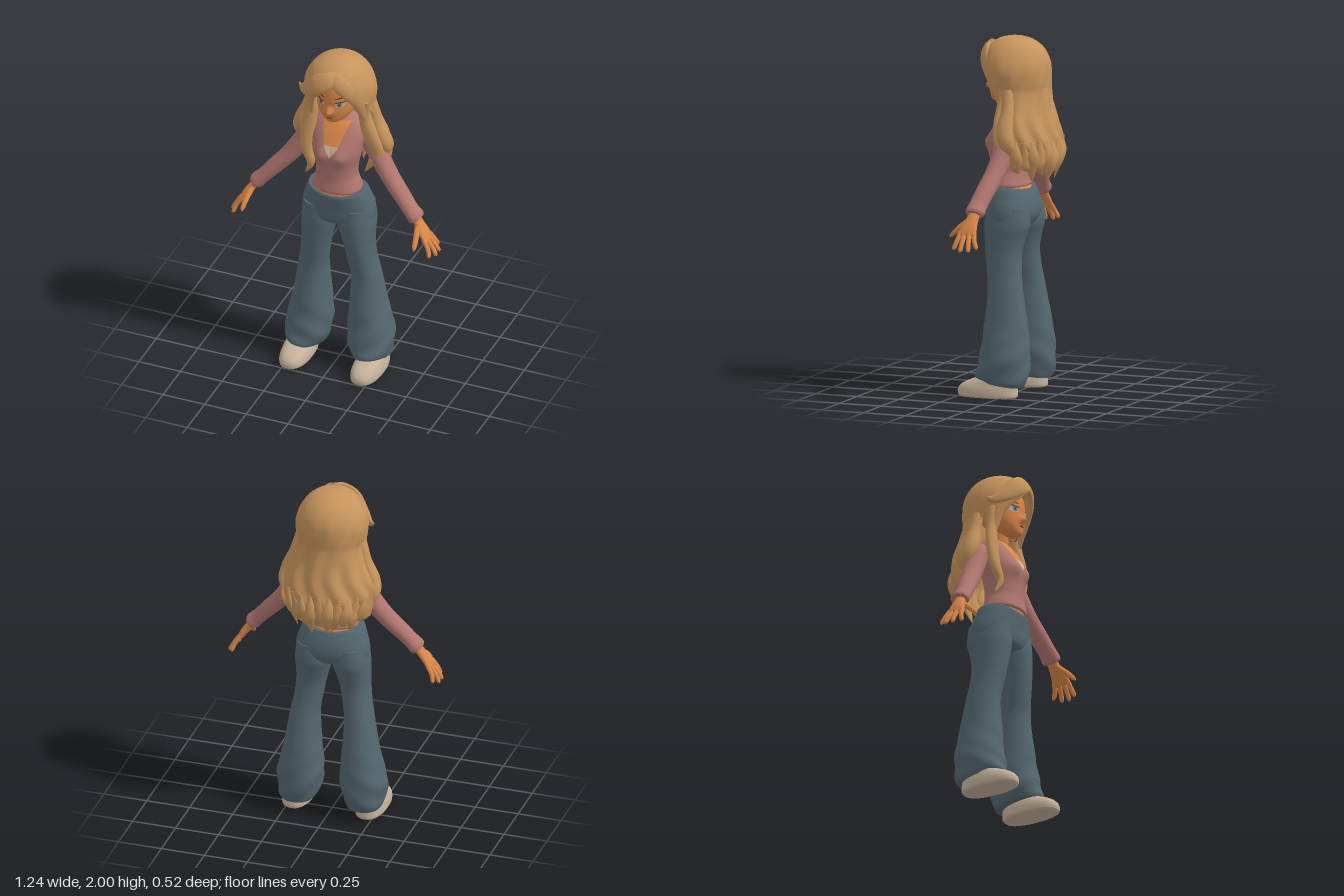
import * as THREE from 'three';

const mat = (name, color, side = THREE.FrontSide) => {
  const m = new THREE.MeshStandardMaterial({ color, side });
  m.name = name;
  return m;
};

// Smooth interpolation of table rows; the first column is the key, ascending
function sample(rows, t) {
  const last = rows.length - 1;
  t = Math.min(Math.max(t, rows[0][0]), rows[last][0]);
  let i = 0;
  while (i < last - 1 && t > rows[i + 1][0]) i++;
  const a = rows[i], b = rows[i + 1], h = b[0] - a[0], s = (t - a[0]) / h;
  const slope = (k, c) => {
    const p = rows[Math.max(k - 1, 0)], q = rows[Math.min(k + 1, last)];
    return (q[c] - p[c]) / (q[0] - p[0]);
  };
  return a.map((_, c) => c === 0 ? t :
    (1 + 2 * s) * (1 - s) ** 2 * a[c] + s * (1 - s) ** 2 * h * slope(i, c) +
    s * s * (3 - 2 * s) * b[c] + s * s * (s - 1) * h * slope(i + 1, c));
}

function keys(rows, sub) {
  const out = [];
  for (let i = 0; i < rows.length - 1; i++)
    for (let k = 0; k < sub; k++) out.push(rows[i][0] + (rows[i + 1][0] - rows[i][0]) * k / sub);
  return [...out, rows[rows.length - 1][0]];
}

// Skin a list of rings; closed rings also get end caps
function skin(rings, closed = true) {
  const n = rings[0].length, pos = [], idx = [];
  rings.forEach(r => r.forEach(p => pos.push(p.x, p.y, p.z)));
  for (let i = 0; i < rings.length - 1; i++)
    for (let j = 0; j < (closed ? n : n - 1); j++) {
      const a = i * n + j, b = i * n + (j + 1) % n;
      idx.push(a, a + n, b, b, a + n, b + n);
    }
  if (closed) [rings[0], rings[rings.length - 1]].forEach((r, top) => {
    const base = pos.length / 3;
    const c = r.reduce((s, p) => s.add(p), new THREE.Vector3()).divideScalar(n);
    [...r, c].forEach(p => pos.push(p.x, p.y, p.z));
    for (let j = 0; j < n; j++) {
      const a = base + j, b = base + (j + 1) % n;
      if (top) idx.push(base + n, b, a); else idx.push(base + n, a, b);
    }
  });
  const g = new THREE.BufferGeometry();
  g.setAttribute('position', new THREE.Float32BufferAttribute(pos, 3));
  g.setIndex(idx);
  g.computeVertexNormals();
  return g;
}

// Upright body part from horizontal sections: [y, xMin, xMax, zBack, zFront]
function stack({ rows, p = 2, bump = () => 0, warp }, n = 56, sub = 5) {
  return skin(keys(rows, sub).map(y => {
    const [, x0, x1, zb, zf] = sample(rows, y);
    return Array.from({ length: n }, (_, j) => {
      const a = j / n * Math.PI * 2, c = Math.cos(a), s = Math.sin(a);
      const x = (x0 + x1) / 2 + (x1 - x0) / 2 * Math.sign(c) * Math.abs(c) ** (2 / p);
      const z = (zb + zf) / 2 + (zf - zb) / 2 * Math.sign(s) * Math.abs(s) ** (2 / p);
      const v = new THREE.Vector3(x, y, z + bump(x, y) * Math.max(s, 0));
      if (warp) warp(v, a);
      return v;
    });
  }));
}

// Front surface depth of a stacked part
function frontZ({ rows, p = 2, bump = () => 0 }, x, y) {
  const [, x0, x1, zb, zf] = sample(rows, y);
  const nx = Math.min(Math.abs((x - (x0 + x1) / 2) / ((x1 - x0) / 2)), 1);
  const s = Math.sqrt(1 - nx ** p);
  return (zb + zf) / 2 + (zf - zb) / 2 * s ** (2 / p) + bump(x, y) * s;
}

// Limb or lock along a path: [x, y, z, side radius, depth radius]
function limb(path, n = 14, sub = 5, ref = () => new THREE.Vector3(0, 0, 1)) {
  const rows = path.map((r, i) => [i, ...r]);
  const at = t => new THREE.Vector3(...sample(rows, t).slice(1, 4));
  return skin(keys(rows, sub).map(t => {
    const p = at(t), d = at(t + 0.05).sub(at(t - 0.05)).normalize();
    const v = ref(p);
    v.addScaledVector(d, -v.dot(d)).normalize();
    const u = new THREE.Vector3().crossVectors(d, v), [, , , , ru, rv] = sample(rows, t);
    return Array.from({ length: n }, (_, j) => {
      const a = j / n * Math.PI * 2;
      return p.clone().addScaledVector(u, ru * Math.cos(a)).addScaledVector(v, rv * Math.sin(a));
    });
  }));
}

function mirror(geometry) {
  const g = geometry.clone().scale(-1, 1, 1), ix = g.index.array;
  for (let i = 0; i < ix.length; i += 3) [ix[i], ix[i + 1]] = [ix[i + 1], ix[i]];
  return g;
}

// Thin painted patch laid on the front of a part
function drape(geometry, part, lift, place) {
  const q = geometry.attributes.position;
  for (let i = 0; i < q.count; i++) {
    const [x, y] = place(q.getX(i), q.getY(i));
    q.setXYZ(i, x, y, frontZ(part, x, y) + lift);
  }
  geometry.computeVertexNormals();
  return geometry;
}
const oval = (part, cx, cy, rx, ry, lift, tilt = 0) =>
  drape(new THREE.CircleGeometry(1, 20), part, lift, (x, y) => [cx + x * rx, cy + y * ry + x * tilt]);

export function createModel() {
  const model = new THREE.Group();
  const skinTone = mat('skin', 0xd98648), hair = mat('hair', 0xc6935c, THREE.DoubleSide);
  const knit = mat('rose knit', 0xb1766f), denim = mat('denim', 0x54676f), shoe = mat('shoe', 0xc6b29d);
  const top = mat('undershirt', 0xcdb096), iris = mat('iris', 0x6f8c9c), white = mat('eye white', 0xb8b5b0);
  const dark = mat('dark brown', 0x5c3823), metal = mat('earring', 0x8c6a40);
  const add = (name, g, m) => {
    const mesh = new THREE.Mesh(g, m);
    mesh.name = name;
    model.add(mesh);
  };
  const pair = (name, g, m) => { add(name + 'Left', g, m); add(name + 'Right', mirror(g), m); };
  const sym = rows => rows.map(([y, w, zb, zf]) => [y, -w, w, zb, zf]);

  // Head and face
  const head = { rows: sym([[1.625, .012, .09, .125], [1.637, .045, .05, .142], [1.66, .076, 0, .15],
    [1.7, .106, -.06, .155], [1.75, .12, -.1, .155], [1.8, .122, -.12, .157], [1.86, .114, -.12, .147],
    [1.92, .08, -.09, .1], [1.95, .02, -.02, .03]]),
    bump: (x, y) => .033 * Math.exp(-((x / .018) ** 2) - ((y - 1.713) / .021) ** 2) };
  add('head', stack(head, 80, 6), skinTone);
  add('neck', limb([[0, 1.5, -.01, .07, .06], [0, 1.56, 0, .052, .05], [0, 1.68, .02, .048, .05]], 24), skinTone);
  pair('ear', new THREE.SphereGeometry(1, 16, 12).scale(.018, .035, .024).translate(.119, 1.72, .02), skinTone);
  pair('earring', new THREE.TorusGeometry(.022, .005, 8, 24).rotateY(Math.PI / 2).translate(.125, 1.685, .025), metal);
  pair('eyeWhite', oval(head, .058, 1.765, .027, .017, .003, .003), white);
  pair('iris', oval(head, .055, 1.765, .014, .016, .005), iris);
  pair('pupil', oval(head, .055, 1.765, .006, .008, .007), dark);
  pair('lash', oval(head, .06, 1.782, .03, .004, .007, .004), dark);
  pair('brow', oval(head, .06, 1.808, .03, .004, .004, .007), dark);
  add('mouth', oval(head, 0, 1.673, .02, .004, .005), dark);

  // Sweater, neckline and bare midriff
  const torso = { p: 2.2, rows: sym([[1.162, .138, -.068, .148], [1.172, .143, -.072, .156], [1.2, .135, -.065, .153],
    [1.25, .118, -.06, .147], [1.32, .122, -.062, .149], [1.4, .14, -.075, .157], [1.46, .15, -.08, .138],
    [1.52, .16, -.085, .105], [1.56, .148, -.085, .078], [1.59, .11, -.08, .055], [1.612, .06, -.07, .03]]),
    bump: (x, y) => .02 * Math.exp(-(((Math.abs(x) - .06) / .04) ** 2) - ((y - 1.405) / .045) ** 2) };
  add('sweater', stack(torso, 64, 6), knit);
  const panel = (y0, y1, w0, w1) => drape(new THREE.PlaneGeometry(1, 1, 14, 14), torso, .004, (u, v) =>
    [2 * u * (w0 + (w1 - w0) * (v + .5)), y0 + (y1 - y0) * (v + .5)]);
  add('necklineSkin', panel(1.47, 1.597, .045, .08), skinTone);
  add('undershirt', panel(1.405, 1.47, .001, .045), top);
  add('midriff', stack({ rows: sym([[1.08, .15, -.07, .14], [1.13, .155, -.08, .147], [1.19, .125, -.055, .14]]) }), skinTone);

  // Sleeves with cuffs
  pair('sleeve', limb([[.09, 1.545, -.03, .04, .045], [.165, 1.48, -.025, .058, .06], [.22, 1.385, -.018, .056, .06],
    [.3, 1.27, .004, .05, .056], [.38, 1.18, .028, .046, .054], [.44, 1.112, .045, .042, .052],
    [.475, 1.075, .05, .045, .056], [.487, 1.062, .051, .038, .048]], 28), knit);

  // Hands
  pair('palm', limb([[.46, 1.09, .05, .024, .032], [.5, 1.035, .057, .023, .036],
    [.53, .995, .065, .021, .049], [.553, .958, .067, .016, .053], [.56, .948, .067, .006, .04]], 20), skinTone);
  [[.028, .59, .885, 0], [.053, .612, .87, .038], [.08, .613, .868, .085], [.107, .592, .876, .13]].forEach(([z0, x, y, z], i) =>
    pair('finger' + (i + 1), limb([[.543, .975, z0, .013, .014], [(.545 + x) / 2 + .006, (.97 + y) / 2, (z0 + z) / 2, .0125, .0135],
      [x - .005, y + .01, z, .011, .012], [x, y, z, .003, .003]], 12), skinTone));
  pair('thumb', limb([[.497, 1.035, .075, .016, .018], [.51, .985, .135, .015, .016],
    [.515, .95, .17, .012, .013], [.516, .934, .185, .003, .004]], 12, 5, () => new THREE.Vector3(1, 0, 0)), skinTone);

  // Flared trousers
  add('trouserSeat', stack({ p: 2.3, rows: sym([[.93, .13, -.05, .08], [.955, .195, -.09, .125], [1, .21, -.118, .143],
    [1.05, .206, -.12, .146], [1.1, .19, -.108, .151], [1.135, .174, -.094, .154], [1.147, .166, -.088, .15]]),
    warp: v => { if (v.y > 1.1) v.y += (v.y - 1.1) * .4 * (v.x / .17) ** 2; } }, 64), denim);
  pair('trouserLeg', stack({ p: 2.2, rows: [[.075, .092, .293, -.12, .15], [.1, .08, .305, -.132, .158],
    [.15, .064, .31, -.142, .15], [.22, .055, .312, -.146, .138], [.3, .058, .295, -.14, .125], [.4, .066, .27, -.13, .118],
    [.5, .072, .254, -.112, .106], [.6, .075, .238, -.096, .102], [.7, .06, .22, -.082, .115], [.8, .042, .211, -.078, .129],
    [.88, .02, .211, -.095, .136], [.95, .001, .212, -.116, .14], [1.05, .01, .2, -.11, .135]],
    warp: (v, a) => { // hem slopes back, cloth folds gather near the ankle
      const low = Math.max(0, 1 - v.y / .45), f = 1 + .045 * low * Math.sin(3 * a + v.y * 42);
      v.x = .185 + (v.x - .185) * f;
      v.z *= f;
      v.y += v.z * .2 * Math.max(0, 1 - v.y / .25);
    } }, 56), denim);

  // Shoes
  pair('shoe', stack({ p: 2.4, rows: [[0, .14, .287, -.08, .245], [.01, .13, .297, -.09, .257], [.045, .13, .297, -.09, .255],
    [.075, .138, .29, -.09, .225], [.105, .15, .282, -.085, .155], [.13, .17, .27, -.06, .09]] }), shoe);

  // Hair mass: [y, half width, centre z, depth, half sweep measured from the back]
  const mass = [[1.2, .19, -.04, .165, 1.15], [1.28, .225, -.035, .195, 1.25], [1.35, .25, -.03, .215, 1.35],
    [1.42, .275, -.03, .215, 1.4], [1.5, .262, -.03, .2, 1.45], [1.6, .222, -.015, .19, 1.5], [1.7, .196, 0, .19, 1.7],
    [1.76, .202, 0, .192, 1.9], [1.81, .204, 0, .192, 2.25], [1.86, .193, .002, .188, 2.7], [1.91, .168, .005, .17, Math.PI],
    [1.95, .135, .008, .14, Math.PI], [1.98, .09, .01, .095, Math.PI], [1.994, .045, .01, .05, Math.PI], [2, .001, .01, .001, Math.PI]];
  const strand = (y, phi) => {
    const [, w, cz, d] = sample(mass, y), low = THREE.MathUtils.smoothstep(1.98 - y, 0, .5);
    const k = 1 + low * (.03 * Math.cos(13 * phi + 3 * Math.sin(y * 11)) + .015 * Math.cos(7 * phi - y * 16));
    return new THREE.Vector3(w * k * Math.sin(phi), y, cz - d * k * Math.cos(phi));
  };
  const N = 110;
  add('hairMass', skin(keys(mass.slice(1), 5).map(y => {
    const sweep = Math.min(sample(mass, y)[4], Math.PI);
    return Array.from({ length: N + 1 }, (_, j) => strand(y, sweep * (2 * j / N - 1)));
  }), false), hair);

  // Pointed tips along the lower back
  const outward = p => new THREE.Vector3(p.x, 0, p.z + .03);
  for (let i = 0; i < 13; i++) {
    const phi = -1.26 + i * .21, end = 1.225 + .03 * Math.sin(i * 2.4) + .05 * Math.abs(phi / 1.26) ** 3;
    const row = (y, r, turn = 0) => [...strand(y, phi + turn).toArray(), r, r * .55];
    add('hairTip' + (i + 1), limb([row(1.44, .01), row(1.36, .034), row(1.3, .034, .03), row(end, .003, .1 * Math.sin(i * 1.9))],
      10, 5, outward), hair);
  }

  // Swept fringe and locks framing the face
  const fromHead = p => new THREE.Vector3(p.x, (p.y - 1.78) * .7, p.z);
  const locks = {
    fringeSweep: [[.05, 1.955, .13, .03, .012], [0, 1.93, .172, .05, .02], [-.075, 1.885, .178, .058, .022],
      [-.14, 1.825, .14, .045, .02], [-.19, 1.785, .09, .025, .014], [-.222, 1.795, .06, .004, .004]],
    fringeInner: [[.03, 1.93, .16, .02, .012], [-.04, 1.875, .172, .035, .014], [-.105, 1.81, .135, .035, .016],
      [-.135, 1.73, .09, .03, .018], [-.145, 1.63, .06, .025, .018]],
    fringeOther: [[0, 1.955, .14, .025, .012], [.05, 1.925, .162, .045, .02], [.105, 1.865, .145, .045, .02],
      [.142, 1.79, .1, .04, .02], [.155, 1.7, .05, .035, .02], [.16, 1.62, .02, .025, .018]]
  };
  for (const [name, path] of Object.entries(locks)) add(name, limb(path, 16, 6, fromHead), hair);
  add('frontLockRight', limb([[-.155, 1.76, .05, .03, .03], [-.15, 1.65, .05, .036, .03], [-.165, 1.52, .065, .045, .03],
    [-.165, 1.4, .085, .038, .026], [-.135, 1.31, .1, .024, .018], [-.17, 1.23, .09, .003, .003]], 16, 6), hair);
  add('frontLockLeft', limb([[.165, 1.76, .04, .03, .03], [.155, 1.65, .02, .036, .03], [.19, 1.53, .025, .045, .032],
    [.225, 1.43, .015, .038, .028], [.2, 1.35, .02, .024, .018], [.16, 1.28, .03, .003, .003]], 16, 6), hair);
  pair('shoulderLock', limb([[.18, 1.72, -.02, .025, .03], [.2, 1.6, -.03, .04, .04], [.245, 1.5, -.03, .04, .05],
    [.265, 1.43, -.05, .03, .045], [.24, 1.36, -.07, .02, .03], [.25, 1.3, -.1, .003, .004]], 16, 6), hair);

  return model;
}
